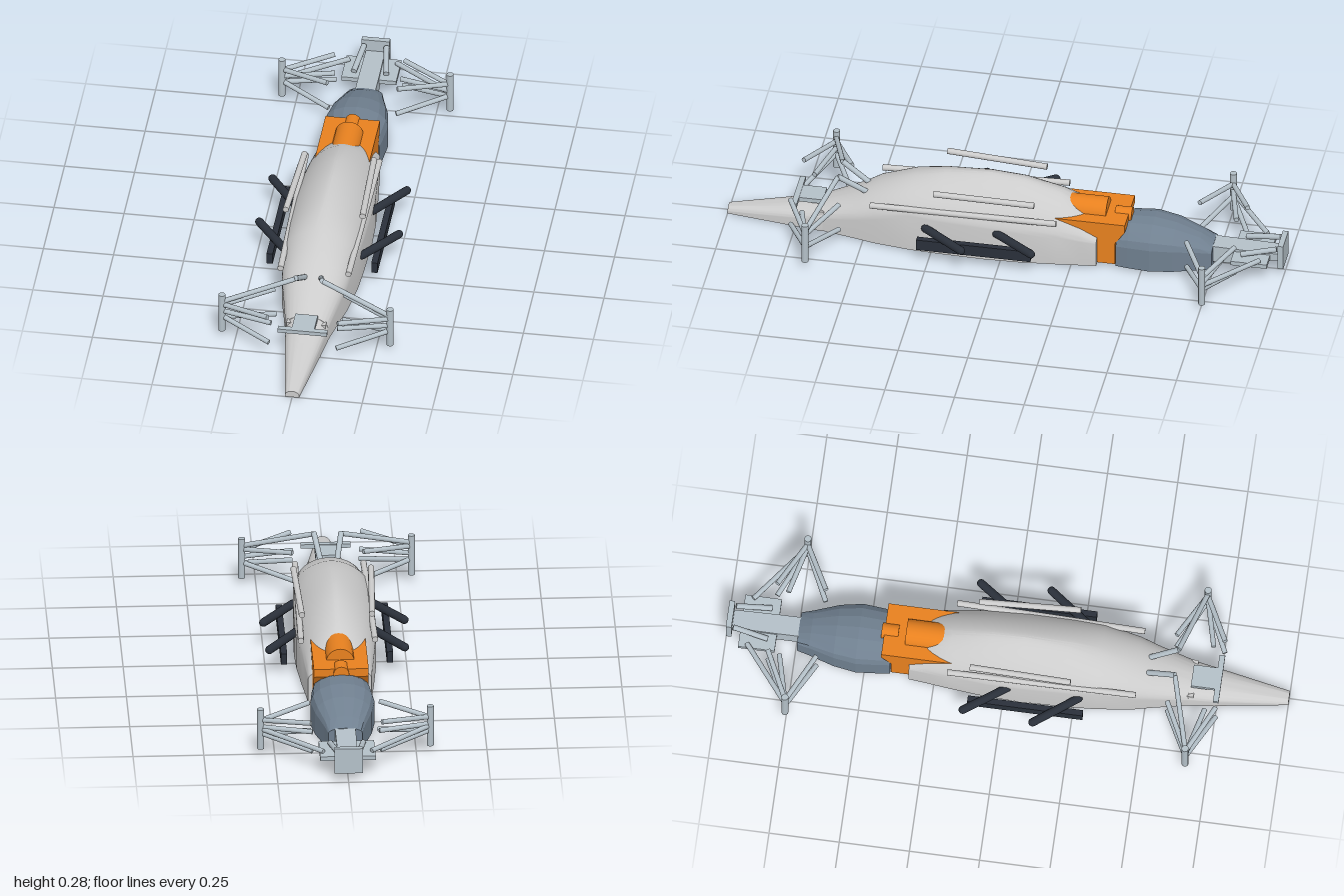
import * as THREE from 'three';
import { toCreasedNormals } from 'three/addons/utils/BufferGeometryUtils.js';

const mat = (color, flat = false) => new THREE.MeshStandardMaterial({ color, flatShading: flat });
const V = (p) => new THREE.Vector3(...p);

// Hull through sections [z, halfWidth, bottom, wallTop, archTop, roundness], ordered front to rear
function loft(sections, arc, crease) {
  const pos = [], idx = [], n = arc + 3;
  for (const [z, w, b, e, top, p] of sections) {
    pos.push(w, b, z);
    for (let i = 0; i <= arc; i++) {
      const a = (i / arc) * Math.PI, c = Math.cos(a), s = Math.max(0, Math.sin(a));
      pos.push(Math.sign(c) * w * Math.abs(c) ** (2 / p), e + (top - e) * s ** (2 / p), z);
    }
    pos.push(-w, b, z);
  }
  const last = (sections.length - 1) * n;
  for (let r = 0; r < last; r += n) {
    for (let j = 0; j < n; j++) {
      const k = (j + 1) % n;
      idx.push(r + j, r + n + j, r + k, r + k, r + n + j, r + n + k);
    }
  }
  for (let j = 1; j < n - 1; j++) idx.push(0, j, j + 1, last, last + j + 1, last + j);
  const g = new THREE.BufferGeometry();
  g.setAttribute('position', new THREE.Float32BufferAttribute(pos, 3));
  g.setIndex(idx);
  return toCreasedNormals(g, crease);
}

export function createModel() {
  const model = new THREE.Group();
  model.name = 'racingCarChassis';
  const grey = mat(0xcccccc), steel = mat(0xb4c0c8), orange = mat(0xe8811f);
  const slate = mat(0x708090, true), dark = mat(0x2a303a);

  const add = (name, geo, m, parent = model) => {
    const mesh = new THREE.Mesh(geo, m);
    mesh.name = name;
    parent.add(mesh);
    return mesh;
  };
  const box = (name, m, x0, x1, y0, y1, z0, z1) =>
    add(name, new THREE.BoxGeometry(x1 - x0, y1 - y0, z1 - z0), m)
      .position.set((x0 + x1) / 2, (y0 + y1) / 2, (z0 + z1) / 2);
  // Rod between two points; round gives it domed ends
  const rod = (name, m, from, to, r, round = false) => {
    const a = V(from), b = V(to), len = a.distanceTo(b);
    const geo = round ? new THREE.CapsuleGeometry(r, len - 2 * r, 5, 12)
      : new THREE.CylinderGeometry(r, r, len, 12);
    const mesh = add(name, geo, m);
    mesh.position.copy(a).add(b).multiplyScalar(0.5);
    mesh.quaternion.setFromUnitVectors(new THREE.Vector3(0, 1, 0), b.sub(a).normalize());
  };

  // Nose cone and main hull
  add('noseCone', loft([
    [1, 0.025, 0, 0.008, 0.025, 2],
    [0.75, 0.063, 0.003, 0.038, 0.072, 2],
    [0.65, 0.076, 0.003, 0.05, 0.1, 2],
  ], 24, 0.5), grey);
  box('noseBulkhead', grey, -0.07, 0.07, 0.005, 0.08, 0.645, 0.668);
  add('monocoque', loft([
    [0.65, 0.076, 0.005, 0.055, 0.1, 2],
    [0.52, 0.103, 0.005, 0.085, 0.158, 2],
    [0.46, 0.117, 0.005, 0.103, 0.195, 2],
    [0.33, 0.134, 0.005, 0.14, 0.243, 1.75],
    [0.22, 0.14, 0.005, 0.14, 0.269, 1.55],
    [0.06, 0.144, 0.005, 0.136, 0.282, 1.45],
    [-0.06, 0.14, 0.005, 0.127, 0.272, 1.5],
    [-0.2, 0.127, 0.005, 0.112, 0.235, 1.6],
    [-0.28, 0.118, 0.005, 0.104, 0.195, 1.7],
    [-0.34, 0.112, 0.005, 0.098, 0.14, 1.8],
  ], 28, 0.35), grey);

  // Front plate and mount above the nose
  box('frontCrossbar', steel, -0.088, 0.088, 0.1, 0.115, 0.74, 0.76);
  box('frontMount', steel, -0.04, 0.04, 0.095, 0.112, 0.655, 0.745);

  // Orange bulkhead: side profile with its wedge, extruded across the car
  const profile = new THREE.Shape([
    [0.19, 0.18], [0.34, 0.1], [0.34, 0.012], [0.405, 0.012], [0.405, 0.1], [0.44, 0.15], [0.44, 0.18],
  ].map(([z, y]) => new THREE.Vector2(z, y)));
  const bulkhead = new THREE.ExtrudeGeometry(profile, { depth: 0.194, bevelEnabled: false });
  bulkhead.rotateY(Math.PI / 2).translate(-0.097, 0, 0);
  add('rearBulkhead', bulkhead, orange);
  const intake = new THREE.CylinderGeometry(0.05, 0.05, 0.135, 24);
  intake.rotateX(Math.PI / 2).translate(0, 0.171, -0.295);
  add('airIntake', intake, orange);
  const cap = new THREE.CylinderGeometry(0.028, 0.028, 0.06, 16);
  cap.rotateX(Math.PI / 2).translate(0, 0.164, -0.42);
  add('fillerCap', cap, orange);

  // Faceted engine cover
  add('engineCover', loft([
    [-0.408, 0.1, 0.007, 0.09, 0.15, 2],
    [-0.45, 0.106, 0.007, 0.092, 0.162, 2],
    [-0.53, 0.113, 0.007, 0.094, 0.166, 2],
    [-0.61, 0.1, 0.007, 0.09, 0.152, 2],
    [-0.7, 0.072, 0.007, 0.08, 0.118, 2],
    [-0.745, 0.06, 0.007, 0.074, 0.092, 2],
  ], 8, 0.01), slate);

  // Gearbox beam and rear plates
  add('gearbox', loft([
    [-0.74, 0.036, 0.03, 0.09, 0.09, 2],
    [-0.83, 0.036, 0.03, 0.088, 0.088, 2],
    [-0.98, 0.034, 0.06, 0.085, 0.085, 2],
  ], 2, 0.2), steel);
  box('gearboxFloor', steel, -0.034, 0.034, 0.025, 0.045, -0.91, -0.745);
  box('rearCrossPlate', steel, -0.098, 0.098, 0.062, 0.078, -0.95, -0.82);
  box('rearPlate', steel, -0.05, 0.05, 0.035, 0.13, -1, -0.98);

  for (const s of [1, -1]) {
    const side = s > 0 ? 'left' : 'right';
    const link = (name, a, b, r = 0.009, m = steel, round = false) =>
      rod(side + name, m, [a[0] * s, a[1], a[2]], [b[0] * s, b[1], b[2]], r, round);

    // Uprights and wishbones; dir points away from the middle of the car
    for (const [end, z, dir] of [['Front', 0.67, 1], ['Rear', -0.755, -1]]) {
      link(end + 'Upright', [0.3, 0.025, z], [0.3, 0.178, z], 0.0125);
      for (const d of [-0.088, 0.085]) {
        link(end + 'UpperArm', [0.295, 0.135, z], [0.125, 0.158, z + d * dir]);
        link(end + 'LowerArm', [0.295, 0.083, z], [0.12, 0.05, z + d * dir]);
      }
      link(end + 'TrackRod', [0.295, 0.108, z], [0.118, 0.106, z + 0.045 * dir]);
    }

    // Pushrods and rockers
    link('FrontPushrod', [0.295, 0.15, 0.67], [0.05, 0.222, 0.6]);
    link('FrontRocker', [0.048, 0.225, 0.6], [0.028, 0.158, 0.495], 0.01);
    link('RearPushrod', [0.295, 0.1, -0.755], [0.085, 0.085, -0.92]);
    link('RearRocker', [0.04, 0.11, -0.975], [0.058, 0.085, -0.85], 0.01);

    // Rails along the cockpit
    link('UpperRail', [0.137, 0.256, 0.24], [0.124, 0.243, -0.12], 0.011, grey);
    link('SideRail', [0.121, 0.167, 0.47], [0.131, 0.18, -0.2], 0.011, grey);

    // Dark side bar and its diagonal struts
    box(side + 'SideBar', dark, s * 0.187 - 0.011, s * 0.187 + 0.011, 0.052, 0.094, -0.12, 0.29);
    link('FrontStrut', [0.13, 0.107, 0.28], [0.258, 0.105, 0.108], 0.015, dark, true);
    link('RearStrut', [0.13, 0.117, 0.025], [0.248, 0.115, -0.142], 0.015, dark, true);
  }
  return model;
}
